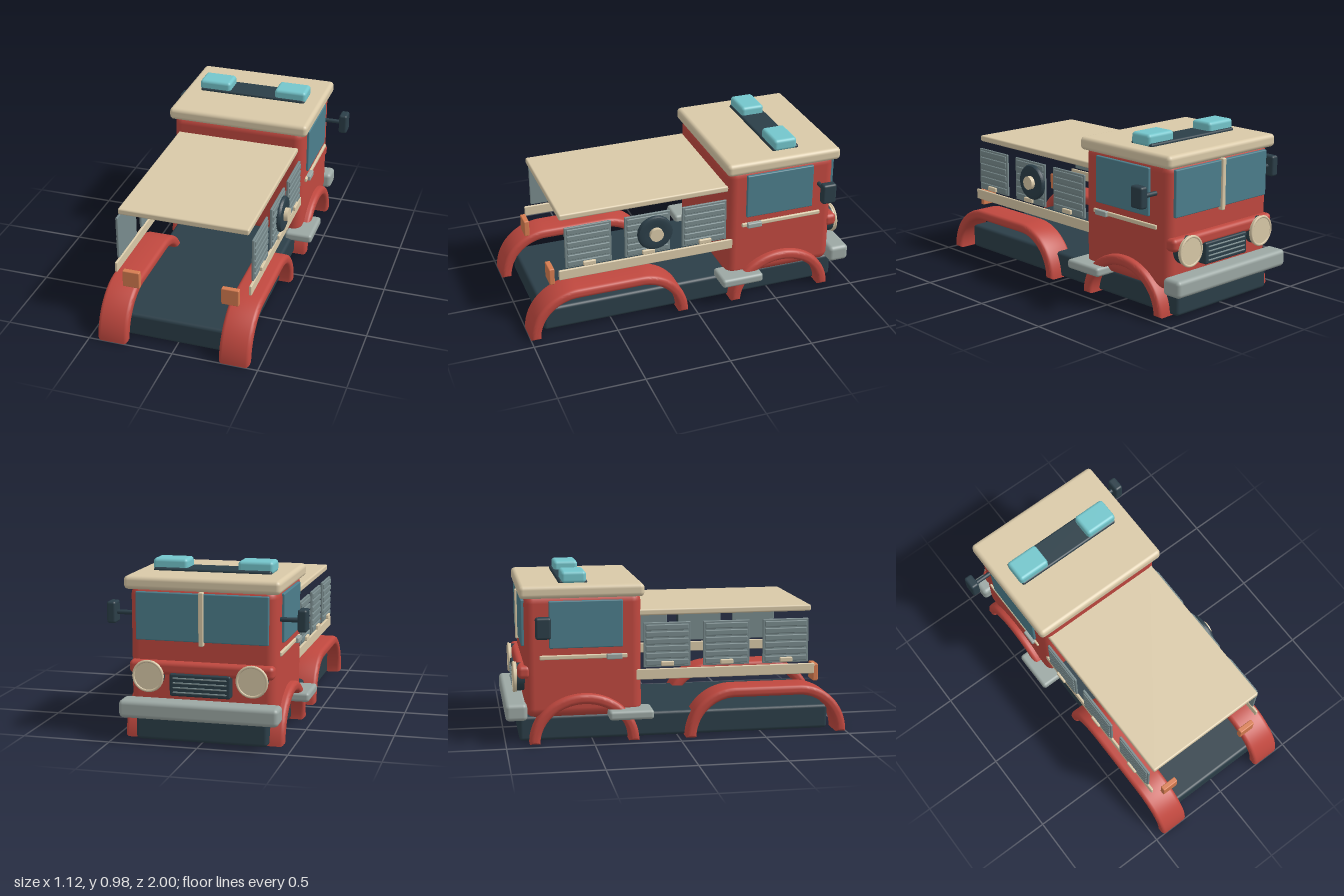
import * as THREE from 'three';
import { RoundedBoxGeometry } from 'three/addons/geometries/RoundedBoxGeometry.js';
import { toCreasedNormals } from 'three/addons/utils/BufferGeometryUtils.js';

const mat = (color) => new THREE.MeshStandardMaterial({ color });
const red = mat(0xc0483f), cream = mat(0xd9c9a8), dark = mat(0x2b3e48), glass = mat(0x4c7e8c);
const cyan = mat(0x74c6cc), grey = mat(0x9ca8a4), orange = mat(0xd67c50), steel = mat(0x788a8c);

export function createModel() {
  const truck = new THREE.Group();
  truck.name = 'fireTruck';

  const add = (name, geometry, material, x = 0, y = 0, z = 0, parent = truck) => {
    const mesh = new THREE.Mesh(geometry, material);
    mesh.name = name;
    mesh.position.set(x, y, z);
    parent.add(mesh);
    return mesh;
  };

  // Rounded box given by its [min, max] range on each axis
  const block = (name, material, [x0, x1], [y0, y1], [z0, z1], radius = 0.006, parent = truck) =>
    add(name, new RoundedBoxGeometry(x1 - x0, y1 - y0, z1 - z0, 3, radius), material,
      (x0 + x1) / 2, (y0 + y1) / 2, (z0 + z1) / 2, parent);

  // Same block on both sides of the truck; x range given for the +x side
  const pair = (name, material, [x0, x1], y, z, radius) => {
    block(name + 'Left', material, [x0, x1], y, z, radius);
    block(name + 'Right', material, [-x1, -x0], y, z, radius);
  };

  // Wheel arch band: two elliptical quarters joined by a straight top
  const fenderGeometry = (zFront, zBack, rz, ry) => {
    const t = 0.06, bevel = 0.022, width = 0.18;
    const s = new THREE.Shape();
    s.moveTo(zBack + rz, 0);
    s.absellipse(zBack, 0, rz, ry, 0, Math.PI / 2, false);
    s.absellipse(zFront, 0, rz, ry, Math.PI / 2, Math.PI, false);
    s.lineTo(zFront - rz + t, 0);
    s.absellipse(zFront, 0, rz - t, ry - t, Math.PI, Math.PI / 2, true);
    s.absellipse(zBack, 0, rz - t, ry - t, Math.PI / 2, 0, true);
    const g = new THREE.ExtrudeGeometry(s, {
      depth: width - 2 * bevel, curveSegments: 16, bevelEnabled: true,
      bevelThickness: bevel, bevelSize: bevel, bevelOffset: -bevel, bevelSegments: 4,
    });
    g.translate(0, 0, -(width - 2 * bevel) / 2);
    g.rotateY(-Math.PI / 2);
    return toCreasedNormals(g, 0.7);
  };

  // Chassis, fenders, bumper and side steps
  block('chassis', dark, [-0.37, 0.37], [0.005, 0.15], [-0.92, 0.905], 0.02);
  const rearArch = fenderGeometry(0.33, 0.71, 0.29, 0.29);
  const frontArch = fenderGeometry(-0.55, -0.55, 0.315, 0.285);
  for (const s of [1, -1]) {
    add('rearFender', rearArch, red, s * 0.36);
    add('frontFender', frontArch, red, s * 0.36);
  }
  block('frontBumper', grey, [-0.445, 0.445], [0.14, 0.24], [-1, -0.875], 0.025);
  pair('step', grey, [0.33, 0.498], [0.135, 0.19], [-0.415, -0.157], 0.018);

  // Cab body and roof
  block('cab', red, [-0.41, 0.41], [0.145, 0.86], [-0.885, -0.215], 0.055);
  block('cabRoof', cream, [-0.435, 0.435], [0.835, 0.91], [-0.91, -0.2], 0.025);

  // Cab side details
  pair('sideWindow', glass, [0.4, 0.425], [0.55, 0.82], [-0.745, -0.325]);
  pair('sideTrim', cream, [0.4, 0.422], [0.485, 0.51], [-0.8, -0.3]);
  pair('doorHandle', grey, [0.41, 0.438], [0.48, 0.512], [-0.42, -0.33]);
  pair('mirror', dark, [0.51, 0.562], [0.627, 0.75], [-0.83, -0.743], 0.014);
  for (const s of [1, -1]) {
    const arm = add('mirrorArm', new THREE.CylinderGeometry(0.013, 0.013, 0.13, 16), dark, s * 0.46, 0.687, -0.787);
    arm.rotation.z = Math.PI / 2;
  }

  // Cab face: windscreen, brow bar, grille, headlights
  block('windscreen', glass, [-0.37, 0.37], [0.56, 0.825], [-0.9, -0.87]);
  block('windscreenPost', cream, [-0.014, 0.014], [0.54, 0.835], [-0.913, -0.88]);
  block('browBar', red, [-0.405, 0.405], [0.375, 0.45], [-0.925, -0.85], 0.025);
  block('grille', dark, [-0.17, 0.17], [0.265, 0.39], [-0.94, -0.87], 0.01);
  for (let i = 0; i < 4; i++) {
    const y = 0.288 + i * 0.026;
    block('grilleBar', steel, [-0.15, 0.15], [y - 0.004, y + 0.004], [-0.946, -0.93], 0.003);
  }
  for (const s of [1, -1]) {
    const lamp = new THREE.Group();
    lamp.name = 'headlight';
    lamp.position.set(s * 0.29, 0.37, 0);
    truck.add(lamp);
    const housing = add('housing', new THREE.CylinderGeometry(0.08, 0.08, 0.06, 32), dark, 0, 0, -0.9, lamp);
    const lens = add('lens', new THREE.CylinderGeometry(0.086, 0.086, 0.018, 32), cream, 0, 0, -0.935, lamp);
    housing.rotation.x = lens.rotation.x = Math.PI / 2;
    add('lensRim', new THREE.TorusGeometry(0.082, 0.008, 10, 32), cream, 0, 0, -0.941, lamp);
  }

  // Roof light bar
  block('lightBarBase', dark, [-0.335, 0.335], [0.895, 0.926], [-0.68, -0.515], 0.012);
  pair('beacon', cyan, [0.143, 0.342], [0.905, 0.976], [-0.665, -0.522], 0.02);

  // Open rear body: roof panel and lower rails
  block('bodyRoof', cream, [-0.38, 0.38], [0.717, 0.754], [-0.235, 0.79], 0.01);
  pair('lowerRail', cream, [0.389, 0.404], [0.348, 0.41], [-0.275, 0.81], 0.005);

  // Slatted locker shutters with handles
  for (const z of [-0.068, 0.28, 0.633]) {
    pair('shutter', steel, [0.39, 0.404], [0.42, 0.68], [z - 0.137, z + 0.137], 0.004);
    for (let i = 0; i < 6; i++) {
      const y = 0.447 + i * 0.041;
      pair('shutterSlat', steel, [0.398, 0.411], [y - 0.016, y + 0.016], [z - 0.125, z + 0.125], 0.005);
    }
    pair('shutterHandle', cream, [0.405, 0.425], [0.427, 0.455], [z - 0.038, z + 0.038], 0.006);
  }

  // Hose reel on the left side
  const reel = new THREE.Group();
  reel.name = 'sideReel';
  reel.position.set(0.4, 0.56, 0.24);
  reel.rotation.z = -Math.PI / 2;
  truck.add(reel);
  const tyre = [[0, 0], [0.095, 0], [0.105, 0.008], [0.107, 0.02], [0.1, 0.032], [0.085, 0.037], [0.06, 0.033], [0, 0.033]];
  add('reelDrum', toCreasedNormals(new THREE.LatheGeometry(tyre.map(([r, y]) => new THREE.Vector2(r, y)), 40), 0.7),
    dark, 0, 0, 0, reel);
  add('reelHub', new THREE.CylinderGeometry(0.04, 0.04, 0.03, 28), cream, 0, 0.042, 0, reel);

  // Tail lamps
  pair('tailLamp', orange, [0.241, 0.343], [0.29, 0.392], [0.82, 0.852], 0.006);

  return truck;
}
